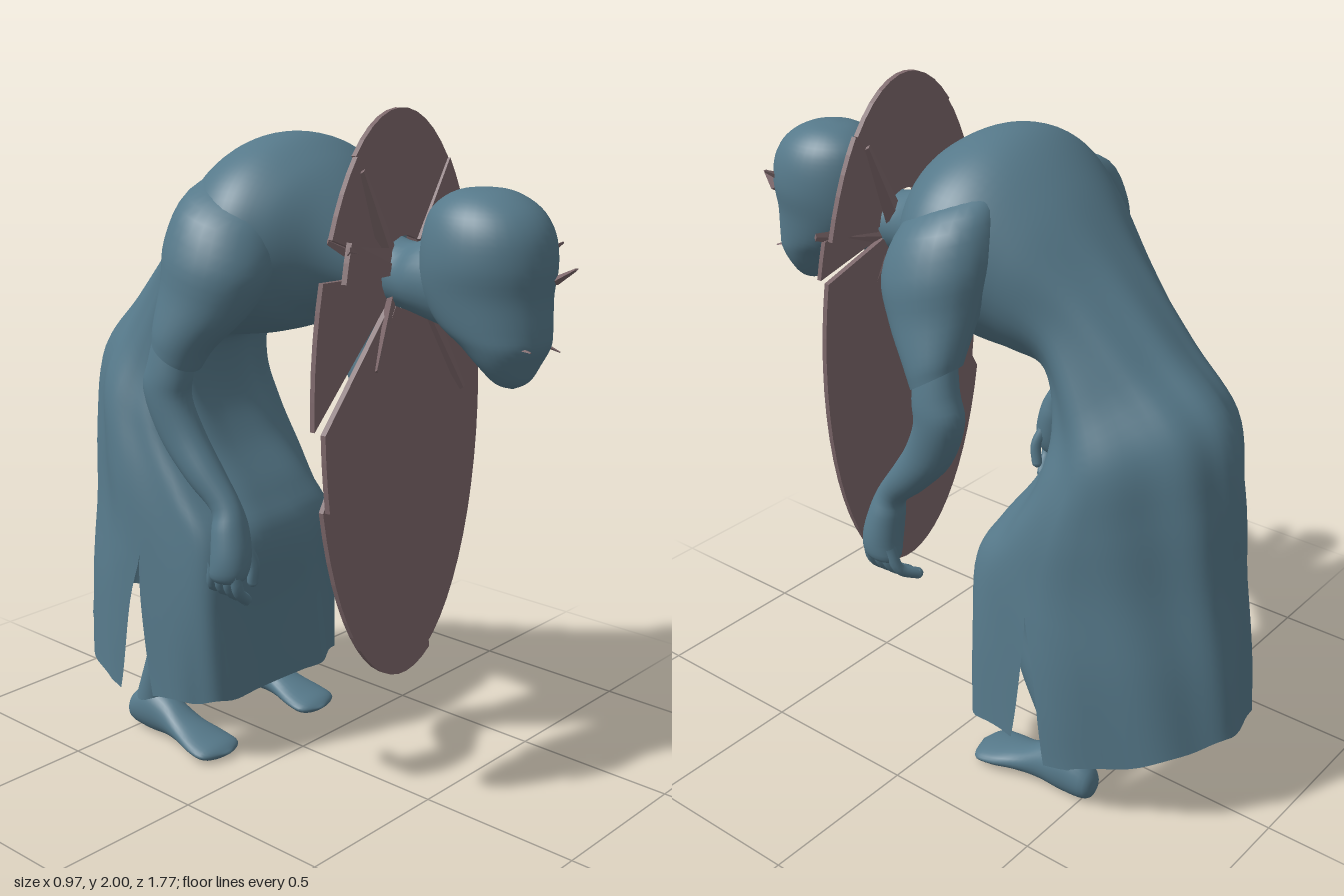
import * as THREE from 'three';
import { mergeVertices } from 'three/addons/utils/BufferGeometryUtils.js';

const body = new THREE.MeshStandardMaterial({ color: 0x56798a });
const cloth = new THREE.MeshStandardMaterial({ color: 0x56798a, side: THREE.DoubleSide });
const stone = new THREE.MeshStandardMaterial({ color: 0x7d686b, flatShading: true });
const V = (x, y, z) => new THREE.Vector3(x, y, z);
const ramp = THREE.MathUtils.smoothstep;

function add(parent, name, geometry, material) {
  const mesh = new THREE.Mesh(geometry, material);
  mesh.name = name;
  parent.add(mesh);
  return mesh;
}

// Smooth skin through oval sections; each row is [z1, y1, z2, y2, halfWidth, centreX].
// The ring is two half sheets that join at the sides, unless slit(t) opens a gap.
function loft(rows, { side = 1, half = 14, steps = 4, power = () => 2, seam = 0, slit = () => 0, shape = null } = {}) {
  const a = new THREE.CatmullRomCurve3(rows.map(r => V(r[0], r[1], r[4])), false, 'catmullrom');
  const b = new THREE.CatmullRomCurve3(rows.map(r => V(r[2], r[3], r[5] || 0)), false, 'catmullrom');
  const count = (rows.length - 1) * steps;
  const pos = [], index = [];
  for (let h = 0; h < 2; h++) {
    const start = pos.length / 3;
    for (let j = 0; j <= count; j++) {
      const t = j / count, p = a.getPoint(t), q = b.getPoint(t), gap = slit(t);
      const from = (h ? Math.PI - seam : seam) + gap;
      const to = (h ? Math.PI * 2 + seam : Math.PI - seam) - gap;
      for (let i = 0; i <= half; i++) {
        const ang = from + (to - from) * i / half;
        const bend = v => Math.sign(v) * Math.abs(v) ** (2 / power(t, ang));
        const c = bend(Math.cos(ang)), s = bend(Math.sin(ang));
        const v = V(q.z + Math.max(p.z, 0) * c, (p.y + q.y) / 2 + (p.y - q.y) / 2 * s,
          (p.x + q.x) / 2 + (p.x - q.x) / 2 * s);
        if (shape) shape(v, t, ang, c, s);
        pos.push(v.x * side, v.y, v.z);
        if (i < half && j < count) {
          const k = start + j * (half + 1) + i, m = k + half + 1;
          if (side > 0) index.push(k, k + 1, m, k + 1, m + 1, m);
          else index.push(k, m, k + 1, k + 1, m, m + 1);
        }
      }
    }
  }
  let g = new THREE.BufferGeometry();
  g.setAttribute('position', new THREE.Float32BufferAttribute(pos, 3));
  g.setIndex(index);
  g = mergeVertices(g, 1e-4);
  g.computeVertexNormals();
  return g;
}

// Thin tapering splinter from base to tip
function splinter(parent, name, base, tip, width) {
  const dir = tip.clone().sub(base);
  const mesh = add(parent, name, new THREE.CylinderGeometry(width * 0.3, width, dir.length(), 4), stone);
  mesh.scale.z = 0.4;
  mesh.position.copy(base).add(tip).multiplyScalar(0.5);
  mesh.quaternion.setFromUnitVectors(V(0, 1, 0), dir.normalize());
}

// Long robe over the bent back, open at the hem and slit at both sides
function buildRobe(group) {
  const rows = [
    [0.28, 1.47, 0.28, 1.67, 0.10], [0.20, 1.45, 0.20, 1.78, 0.18],
    [0.13, 1.42, 0.11, 1.86, 0.29], [0.05, 1.37, 0.00, 1.91, 0.36],
    [-0.08, 1.33, -0.12, 1.895, 0.36], [-0.18, 1.31, -0.26, 1.79, 0.30],
    [-0.28, 1.28, -0.42, 1.61, 0.24], [-0.30, 1.12, -0.60, 1.41, 0.255],
    [-0.24, 0.97, -0.76, 1.24, 0.30], [-0.13, 0.82, -0.81, 1.02, 0.325],
    [-0.07, 0.70, -0.83, 0.76, 0.335], [-0.08, 0.48, -0.86, 0.52, 0.35],
    [-0.08, 0.21, -0.88, 0.30, 0.36]];
  const slit = t => Math.max(0, (t - 0.87) / 0.13) * 0.14;
  const waist = t => ramp(t, 0.4, 0.65);
  // the front panel is squarer towards the hem
  const power = (t, ang) => 2 + 0.4 * waist(t) + 1.6 * ramp(t, 0.7, 0.95) * ramp(Math.sin(ang), 0.2, 0.6);
  const shape = (v, t, ang, c, s) => {
    const low = waist(t);
    v.x *= 1 - 0.4 * low * Math.max(0, -s);
    // soft folds and a hem that dips at the sides
    const fold = 0.007 * low * Math.sin(ang * 9 + t * 14);
    v.x += fold * c;
    v.z += fold * s;
    const hem = ramp(t, 0.9, 1);
    v.y -= hem * (0.07 * Math.abs(c) ** 3 * (s < 0 ? 1 : 1 - s) + 0.006 * Math.sin(ang * 11));
  };
  add(group, 'robe', loft(rows, { half: 40, steps: 6, power, seam: 0.18, slit, shape }), cloth);
}

function buildHead(group) {
  add(group, 'neck', loft([
    [0.20, 1.73, 0.20, 1.45, 0.13], [0.30, 1.67, 0.30, 1.465, 0.10], [0.40, 1.645, 0.40, 1.46, 0.098],
    [0.48, 1.67, 0.48, 1.445, 0.115], [0.62, 1.70, 0.62, 1.41, 0.11]]), body);
  add(group, 'head', loft([
    [0.64, 1.812, 0.64, 1.812, 0], [0.72, 1.80, 0.56, 1.80, 0.075], [0.79, 1.76, 0.50, 1.76, 0.13],
    [0.83, 1.70, 0.475, 1.70, 0.158], [0.842, 1.62, 0.465, 1.62, 0.165], [0.835, 1.54, 0.47, 1.54, 0.152],
    [0.838, 1.46, 0.52, 1.46, 0.138], [0.835, 1.41, 0.595, 1.41, 0.122], [0.81, 1.36, 0.65, 1.36, 0.095],
    [0.785, 1.315, 0.70, 1.31, 0.052], [0.745, 1.293, 0.745, 1.293, 0]], { half: 18 }), body);
  // small splinters stuck in the face
  splinter(group, 'faceSplinter', V(0.065, 1.58, 0.82), V(0.05, 1.62, 0.89), 0.03);
  splinter(group, 'faceSplinter', V(0.11, 1.64, 0.76), V(0.155, 1.665, 0.78), 0.014);
  splinter(group, 'faceSplinter', V(0.06, 1.41, 0.80), V(0.07, 1.395, 0.84), 0.014);
  splinter(group, 'faceSplinter', V(-0.06, 1.42, 0.80), V(-0.065, 1.415, 0.84), 0.012);
}

function buildArm(group, side) {
  const arm = new THREE.Group();
  arm.name = side > 0 ? 'leftArm' : 'rightArm';
  group.add(arm);
  add(arm, 'sleeve', loft([
    [0.06, 1.79, -0.10, 1.84, 0.04, 0.14], [0.11, 1.69, -0.17, 1.77, 0.13, 0.24],
    [0.135, 1.56, -0.20, 1.65, 0.14, 0.30], [0.085, 1.445, -0.19, 1.53, 0.115, 0.34],
    [0.0, 1.345, -0.18, 1.42, 0.088, 0.387], [-0.035, 1.285, -0.175, 1.375, 0.073, 0.403]], { side }), cloth);
  add(arm, 'forearm', loft([
    [-0.04, 1.40, -0.16, 1.44, 0.055, 0.40], [-0.045, 1.27, -0.185, 1.31, 0.058, 0.42],
    [-0.05, 1.20, -0.205, 1.22, 0.06, 0.422], [-0.01, 1.11, -0.15, 1.08, 0.058, 0.412],
    [0.05, 1.02, -0.05, 0.97, 0.053, 0.405], [0.115, 0.93, 0.03, 0.90, 0.042, 0.398],
    [0.145, 0.86, 0.04, 0.85, 0.054, 0.402], [0.163, 0.78, 0.045, 0.76, 0.058, 0.412],
    [0.155, 0.72, 0.045, 0.71, 0.042, 0.42], [0.10, 0.695, 0.10, 0.695, 0, 0.418]], { side }), body);
  const finger = (name, r, ...pts) => {
    const path = pts.map(p => V(p[0] * side, p[1], p[2]));
    add(arm, name, new THREE.TubeGeometry(new THREE.CatmullRomCurve3(path), 10, r, 8), body);
    add(arm, name + 'Tip', new THREE.SphereGeometry(r, 8, 6), body).position.copy(path[path.length - 1]);
  };
  for (let i = 0; i < 4; i++) {
    const z = 0.14 - 0.027 * i;
    finger('finger', 0.017, [0.435, 0.755, z], [0.42, 0.685, z - 0.007 * i], [0.37, 0.642 + 0.005 * i, z - 0.02 - 0.009 * i]);
  }
  finger('thumb', 0.017, [0.375, 0.82, 0.11], [0.348, 0.75, 0.13], [0.342, 0.69, 0.12]);
}

function buildLeg(group, side) {
  const leg = new THREE.Group();
  leg.name = side > 0 ? 'leftLeg' : 'rightLeg';
  group.add(leg);
  add(leg, 'shin', loft([
    [-0.38, 0.97, -0.64, 0.95, 0.115, 0.15], [-0.14, 0.69, -0.34, 0.61, 0.09, 0.175],
    [-0.24, 0.42, -0.43, 0.36, 0.082, 0.195], [-0.355, 0.20, -0.48, 0.19, 0.054, 0.22],
    [-0.395, 0.07, -0.52, 0.07, 0.048, 0.228]], { side }), body);
  add(leg, 'foot', loft([
    [-0.54, 0.05, -0.54, 0.05, 0, 0.225], [-0.52, 0.11, -0.52, 0.012, 0.042, 0.225],
    [-0.44, 0.16, -0.44, 0.003, 0.055, 0.226], [-0.36, 0.135, -0.36, 0.008, 0.054, 0.226],
    [-0.28, 0.09, -0.28, 0.01, 0.065, 0.226], [-0.20, 0.062, -0.20, 0.004, 0.082, 0.226],
    [-0.14, 0.045, -0.14, 0.003, 0.075, 0.224], [-0.108, 0.022, -0.108, 0.022, 0, 0.215]], { side }), body);
}

// Cracked oval slab around the neck, some pieces tilted forward
function buildCollar(group) {
  const collar = new THREE.Group();
  collar.name = 'brokenCollar';
  collar.position.z = 0.4;
  collar.rotation.x = -0.022;
  group.add(collar);
  const cracks = [-71, 19, 28, 55, 121, 143, 152, 181, 197, 289];
  const tilts = [0, -0.08, 0.03, 0, 0, 0.18, 0, 0.08, 0];
  const centre = new THREE.Vector2(0, 1.56);
  const rim = deg => {
    const a = deg * Math.PI / 180;
    return new THREE.Vector2(-0.015 + 0.36 * Math.cos(a), 1.195 + 0.805 * Math.sin(a));
  };
  const inner = deg => rim(deg).sub(centre).setLength(0.1).add(centre);
  tilts.forEach((tilt, i) => {
    const from = cracks[i] + 0.1, to = cracks[i + 1] - 0.1;
    const points = [];
    const n = Math.max(2, Math.ceil((to - from) / 6));
    for (let k = 0; k <= n; k++) points.push(rim(from + (to - from) * k / n));
    for (let k = 3; k >= 0; k--) points.push(inner(from + (to - from) * k / 3));
    const piece = add(collar, 'collarPiece', new THREE.ExtrudeGeometry(new THREE.Shape(points),
      { depth: 0.016, bevelEnabled: false }), stone);
    piece.position.z = (i % 3 - 1) * 0.006;
    piece.rotation.y = tilt;
  });
  // splinters bursting out around the neck
  const bursts = [
    [-0.08, 1.60, 0.38, -0.31, 1.66, 0.44], [-0.06, 1.60, 0.37, -0.21, 1.85, 0.40],
    [0.07, 1.60, 0.34, 0.21, 1.84, 0.30], [0.08, 1.47, 0.37, 0.26, 1.19, 0.39],
    [-0.06, 1.48, 0.34, -0.21, 1.31, 0.28], [0.08, 1.53, 0.38, 0.33, 1.59, 0.40],
    [-0.06, 1.50, 0.38, -0.18, 1.32, 0.43], [-0.07, 1.58, 0.34, -0.22, 1.66, 0.29]];
  for (const [a, b, c, d, e, f] of bursts) splinter(group, 'collarSplinter', V(a, b, c), V(d, e, f), 0.036);
}

export function createModel() {
  const group = new THREE.Group();
  group.name = 'hunchedFigure';
  buildRobe(group);
  buildHead(group);
  for (const side of [1, -1]) {
    buildArm(group, side);
    buildLeg(group, side);
  }
  buildCollar(group);
  return group;
}
